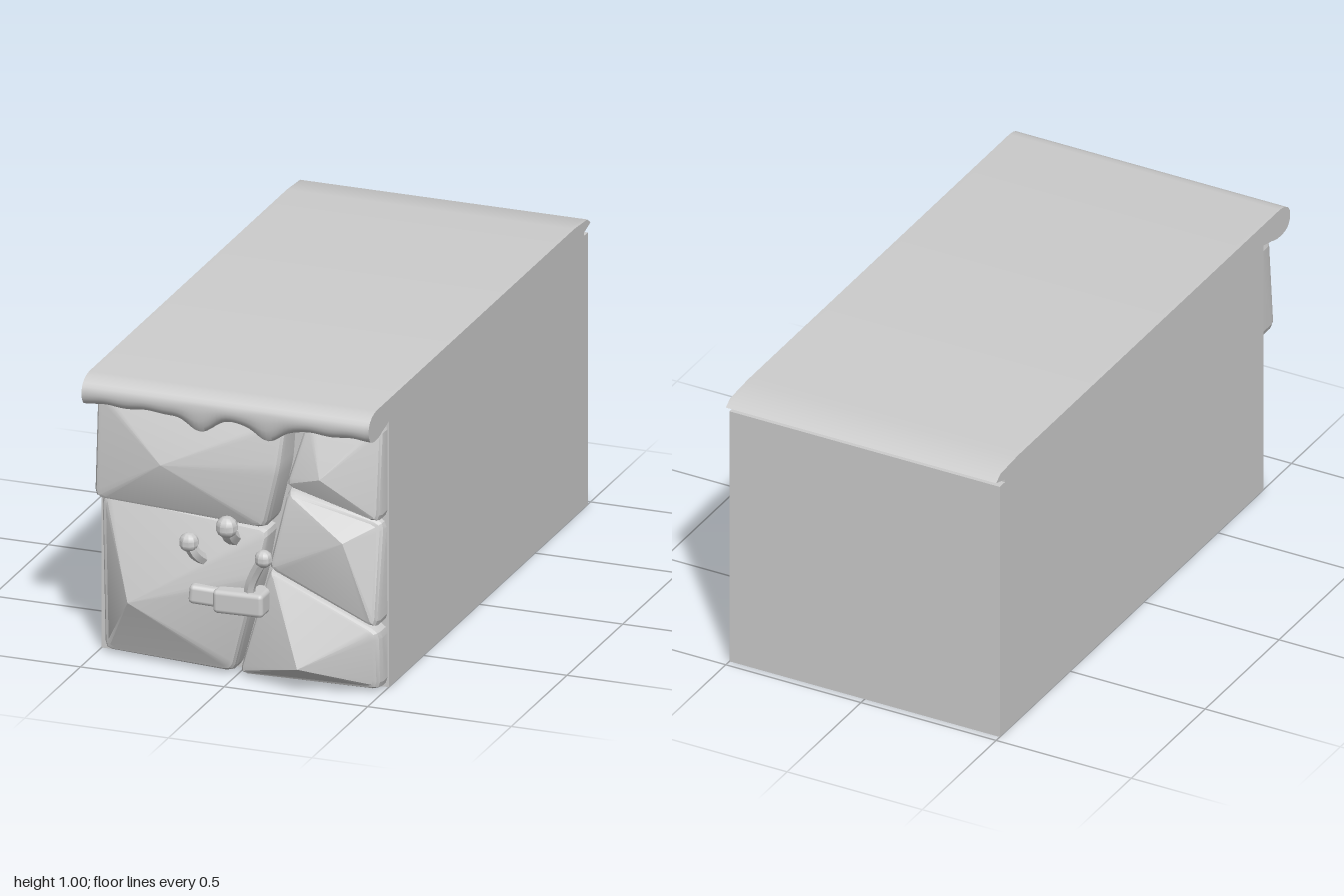
import * as THREE from 'three';
import { toCreasedNormals } from 'three/addons/utils/BufferGeometryUtils.js';
import { RoundedBoxGeometry } from 'three/addons/geometries/RoundedBoxGeometry.js';

const stoneGrey = new THREE.MeshStandardMaterial({ color: 0xcccccc });
stoneGrey.name = 'stoneGrey';

function add(group, name, geometry, x = 0, y = 0, z = 0) {
  const mesh = new THREE.Mesh(geometry, stoneGrey);
  mesh.name = name;
  mesh.position.set(x, y, z);
  group.add(mesh);
  return mesh;
}

// Faceted stone: clockwise corners [x, y, rimZ], rounded, rising to one peak
function stoneGeometry(corners, peak) {
  const pts = corners.slice().reverse().map(c => new THREE.Vector3(...c));
  const n = pts.length, outline = [];
  pts.forEach((c, i) => {
    const toward = q => c.clone().lerp(q, 0.025 / c.distanceTo(q));
    const a = toward(pts[(i + n - 1) % n]), b = toward(pts[(i + 1) % n]);
    const mid = a.clone().add(b).multiplyScalar(0.25).addScaledVector(c, 0.5);
    outline.push(a, mid, b);
  });
  const centre = new THREE.Vector3();
  pts.forEach(p => centre.addScaledVector(p, 1 / n));
  const m = outline.length, pos = [], index = [];
  // Inset and height of each ring, from wall to rim
  const rings = [[0, null], [0, -0.035], [0.005, -0.016], [0.014, -0.004], [0.026, 0]];
  rings.forEach(([inset, dz]) => outline.forEach(p => {
    const q = p.clone().lerp(centre, inset / p.distanceTo(centre));
    pos.push(q.x, q.y, dz === null ? 0.8 : p.z + dz);
  }));
  pos.push(...peak);
  for (let r = 0; r < rings.length; r++) {
    for (let i = 0; i < m; i++) {
      const a = r * m + i, b = r * m + (i + 1) % m;
      if (r === rings.length - 1) index.push(a, b, rings.length * m);
      else index.push(a, b, b + m, a, b + m, a + m);
    }
  }
  const g = new THREE.BufferGeometry();
  g.setAttribute('position', new THREE.Float32BufferAttribute(pos, 3));
  g.setIndex(index);
  return toCreasedNormals(g, 0.3);
}

// Top slab with a rolled front lip that sags into drips
function slabGeometry() {
  const shape = new THREE.Shape();
  shape.moveTo(-0.94, 0.955);
  shape.lineTo(0.8, 0.955);
  shape.lineTo(0.8, 0.925);
  shape.lineTo(0.87, 0.915);
  shape.bezierCurveTo(0.89, 0.905, 0.93, 0.9, 0.96, 0.908);
  shape.bezierCurveTo(1.005, 0.92, 1.01, 0.995, 0.92, 1);
  shape.lineTo(-0.85, 1);
  shape.lineTo(-0.97, 0.992);
  shape.lineTo(-1, 0.972);
  shape.closePath();
  const g = new THREE.ExtrudeGeometry(shape, { depth: 1, steps: 64, bevelEnabled: false, curveSegments: 10 });
  g.rotateY(-Math.PI / 2).translate(0.5, 0, 0);
  const sag = x => 0.045 * Math.exp(-(((x + 0.1) / 0.055) ** 2))
    + 0.05 * Math.exp(-(((x - 0.14) / 0.05) ** 2))
    + 0.006 * Math.sin(x * 22) ** 2;
  const p = g.attributes.position;
  for (let i = 0; i < p.count; i++) {
    if (p.getZ(i) < 0.86) continue;
    const w = THREE.MathUtils.clamp((0.955 - p.getY(i)) / 0.04, 0, 1);
    p.setY(i, p.getY(i) - sag(p.getX(i)) * w);
  }
  return toCreasedNormals(g, 0.6);
}

// Round-headed pin: a faceted ball on a stem that follows a few points
function addPin(group, name, radius, stemRadius, points) {
  const pin = new THREE.Group();
  pin.name = name;
  const path = new THREE.CatmullRomCurve3(points.map(p => new THREE.Vector3(...p)));
  add(pin, 'pinStem', toCreasedNormals(new THREE.TubeGeometry(path, 8, stemRadius, 6), 0.6));
  add(pin, 'pinHead', toCreasedNormals(new THREE.SphereGeometry(radius, 10, 7), 0.5), ...points[0]);
  group.add(pin);
}

export function createModel() {
  const model = new THREE.Group();
  model.name = 'stoneBlock';

  // Plain body and cap
  add(model, 'body', new THREE.BoxGeometry(1, 0.945, 1.785), 0, 0.4725, -0.0825);
  add(model, 'topSlab', slabGeometry());
  add(model, 'slabCore', new THREE.BoxGeometry(1, 0.03, 1.75), 0, 0.955, -0.065);

  // Facing stones
  const stones = {
    upperLeftStone: [[[-0.495, 0.92, 0.88], [0.18, 0.92, 0.91], [0.168, 0.75, 0.94], [0.118, 0.538, 0.94], [-0.49, 0.56, 0.92]], [-0.23, 0.73, 0.98]],
    upperRightStone: [[[0.235, 0.92, 0.87], [0.495, 0.92, 0.855], [0.495, 0.59, 0.895], [0.175, 0.69, 0.92]], [0.31, 0.74, 0.945]],
    middleRightStone: [[[0.17, 0.667, 0.88], [0.492, 0.58, 0.84], [0.495, 0.23, 0.915], [0.115, 0.395, 0.92]], [0.39, 0.53, 0.945]],
    lowerLeftStone: [[[-0.495, 0.547, 0.84], [0.113, 0.522, 0.89], [0.085, 0.36, 0.92], [-0.01, 0.008, 0.9], [-0.48, 0.008, 0.85]], [-0.35, 0.23, 0.965]],
    lowerRightStone: [[[0.113, 0.387, 0.9], [0.495, 0.212, 0.89], [0.495, 0.008, 0.88], [0.006, 0.008, 0.9]], [0.25, 0.09, 0.99]],
  };
  for (const [name, [corners, peak]] of Object.entries(stones)) {
    add(model, name, stoneGeometry(corners, peak));
  }

  // Pins standing out of the lower stone
  addPin(model, 'centrePin', 0.037, 0.026, [[-0.008, 0.538, 0.955], [-0.008, 0.51, 0.94], [-0.008, 0.47, 0.88]]);
  addPin(model, 'leftPin', 0.033, 0.021, [[-0.14, 0.468, 0.955], [-0.125, 0.43, 0.945], [-0.105, 0.39, 0.9]]);
  addPin(model, 'rightPin', 0.03, 0.019, [[0.122, 0.447, 0.96], [0.09, 0.39, 0.95], [0.07, 0.34, 0.945], [0.065, 0.29, 0.94]]);

  // Small ledge under the pins
  const ledge = add(model, 'ledge', new RoundedBoxGeometry(0.175, 0.08, 0.11, 2, 0.015), 0.035, 0.28, 0.92);
  ledge.rotation.z = 0.02;
  const ledgeEnd = add(model, 'ledgeEnd', new RoundedBoxGeometry(0.12, 0.065, 0.09, 2, 0.015), -0.085, 0.285, 0.915);
  ledgeEnd.rotation.set(0, 0.15, -0.08);

  return model;
}
